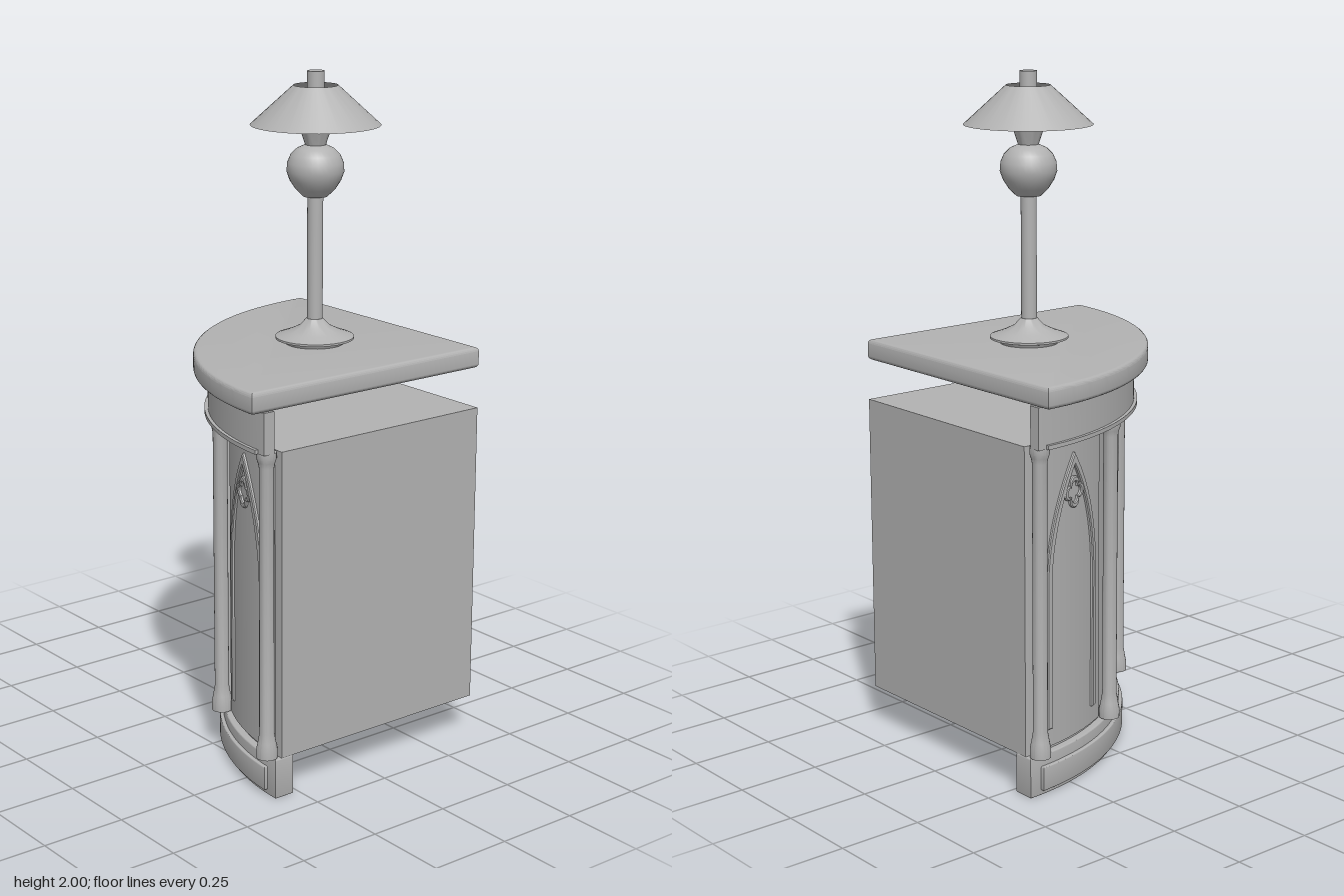
import * as THREE from 'three';
import { toCreasedNormals } from 'three/addons/utils/BufferGeometryUtils.js';

const CORNER = 0.413; // back corner of the quarter circle: (CORNER, -CORNER)
const rad = THREE.MathUtils.degToRad;
const V = (x, y) => new THREE.Vector2(x, y);

// Quarter-ring (or pie, when r0 = 0) around the corner; angles run from the front to the right side
function sector(r0, r1, y0, y1, a0 = 0, a1 = 90, bevel = 0) {
  const s = new THREE.Shape();
  const t0 = rad(90 + a0), t1 = rad(90 + a1);
  if (r0 === 0) s.moveTo(0, 0);
  else s.moveTo(r0 * Math.cos(t0), r0 * Math.sin(t0));
  s.lineTo(r1 * Math.cos(t0), r1 * Math.sin(t0));
  s.absarc(0, 0, r1, t0, t1, false);
  if (r0 > 0) {
    s.lineTo(r0 * Math.cos(t1), r0 * Math.sin(t1));
    s.absarc(0, 0, r0, t1, t0, true);
  }
  const g = new THREE.ExtrudeGeometry(s, {
    depth: y1 - y0 - 2 * bevel, curveSegments: 48, bevelEnabled: bevel > 0,
    bevelSize: bevel, bevelThickness: bevel, bevelOffset: -bevel, bevelSegments: 4,
  });
  g.rotateX(Math.PI / 2).translate(0, y1 - bevel, 0);
  return toCreasedNormals(g, 0.5);
}

// Wraps a flat relief (facing +z) onto the curved front at a given angle
function wrap(shape, depth, radius, angle) {
  const bevel = 0.003;
  const g = new THREE.ExtrudeGeometry(shape, {
    depth, curveSegments: 16, bevelEnabled: true,
    bevelSize: bevel, bevelThickness: bevel, bevelOffset: -bevel, bevelSegments: 1,
  });
  const p = g.attributes.position;
  for (let i = 0; i < p.count; i++) {
    const a = rad(angle) - p.getX(i) / radius, r = radius + p.getZ(i);
    p.setXYZ(i, -r * Math.sin(a), p.getY(i), r * Math.cos(a));
  }
  return toCreasedNormals(g, 0.4);
}

// Pointed arch moulding, open at the bottom
function lancetShape() {
  const w = 0.12, t = 0.02, foot = 0.19, spring = 0.61, R = 0.63, c = R - w, n = 14;
  const side = (r) => {
    const pts = [V(c - r, foot)];
    const end = Math.acos(c / r);
    for (let i = 0; i <= n; i++) {
      const a = end * i / n;
      pts.push(V(c - r * Math.cos(a), spring + r * Math.sin(a)));
    }
    return pts;
  };
  const arch = (r) => {
    const left = side(r);
    return [...left, ...left.slice(0, -1).reverse().map((p) => V(-p.x, p.y))];
  };
  return new THREE.Shape([...arch(R), ...arch(R - t).reverse()]);
}

// Four-lobed ring
function quatrefoilShape(cy) {
  const outline = (k) => Array.from({ length: 64 }, (_, i) => {
    const a = i / 64 * Math.PI * 2;
    const f = a - Math.round(a / (Math.PI / 2)) * Math.PI / 2;
    const d = 0.025, q = 0.021;
    const r = k * (d * Math.cos(f) + Math.sqrt(q * q - (d * Math.sin(f)) ** 2));
    return V(r * Math.cos(a), cy + r * Math.sin(a));
  });
  const s = new THREE.Shape(outline(1));
  s.holes.push(new THREE.Path(outline(0.66)));
  return s;
}

function lathe(points, segments = 32) {
  return toCreasedNormals(new THREE.LatheGeometry(points.map(([r, y]) => V(r, y)), segments), 0.6);
}

export function createModel() {
  const model = new THREE.Group();
  const grey = new THREE.MeshStandardMaterial({ color: 0xb2b2b2 });
  grey.name = 'plain grey';
  const greyOpen = grey;
  greyOpen.side = THREE.DoubleSide;

  const add = (parent, name, geometry) => {
    const m = new THREE.Mesh(geometry, grey);
    m.name = name;
    parent.add(m);
    return m;
  };

  const cabinet = new THREE.Group();
  cabinet.name = 'cabinet';
  cabinet.position.set(CORNER, 0, -CORNER);
  model.add(cabinet);

  // Carcass, plinth, frieze and top
  add(cabinet, 'body', sector(0, 0.724, 0.125, 1.03));
  add(cabinet, 'plinth', sector(0.683, 0.746, 0.005, 0.125, 0, 90, 0.004));
  add(cabinet, 'plinthBand', sector(0.74, 0.757, 0.02, 0.092, 3, 87, 0.004));
  add(cabinet, 'frieze', sector(0.75, 0.785, 1.03, 1.15));
  add(cabinet, 'friezeLedge', sector(0.75, 0.795, 1.03, 1.042, 2, 88));
  add(cabinet, 'tableTop', sector(0, 0.826, 1.15, 1.212, 0, 90, 0.012));

  // Three bays, each with a panel, pointed arch and four-lobed ornament
  const arch = lancetShape(), foil = quatrefoilShape(0.865);
  for (const a of [15, 45, 75]) {
    add(cabinet, 'doorPanel', sector(0.715, 0.732, 0.135, 1.01, a - 12.6, a + 12.6));
    add(cabinet, 'pointedArch', wrap(arch, 0.008, 0.73, a));
    add(cabinet, 'quatrefoil', wrap(foil, 0.008, 0.73, a));
  }

  // Slender columns between the bays
  const column = lathe([
    [0, 0.128], [0.03, 0.128], [0.03, 0.155], [0.026, 0.175], [0.021, 0.205], [0.021, 0.985],
    [0.024, 1.0], [0.028, 1.012], [0.028, 1.03], [0, 1.03],
  ], 20);
  for (const a of [2.2, 30, 60, 87.8]) {
    add(cabinet, 'column', column)
      .position.set(-0.755 * Math.sin(rad(a)), 0, 0.755 * Math.cos(rad(a)));
  }

  // Table lamp
  const lamp = new THREE.Group();
  lamp.name = 'lamp';
  lamp.position.set(0.074, 0, -0.076);
  model.add(lamp);
  add(lamp, 'lampFoot', lathe([
    [0, 1.21], [0.085, 1.21], [0.09, 1.22], [0.115, 1.226], [0.115, 1.232],
    [0.08, 1.245], [0.045, 1.262], [0.024, 1.285], [0, 1.285],
  ]));
  add(lamp, 'lampStem', new THREE.CylinderGeometry(0.023, 0.023, 0.77, 24).translate(0, 1.615, 0));
  add(lamp, 'lampBall', lathe([
    [0, 1.642], [0.036, 1.643], [0.058, 1.665], [0.074, 1.69], [0.083, 1.715], [0.081, 1.74],
    [0.071, 1.763], [0.054, 1.78], [0.03, 1.791], [0, 1.793],
  ]));
  add(lamp, 'lampCup', lathe([[0.028, 1.785], [0.036, 1.81], [0.05, 1.85], [0.044, 1.85], [0.03, 1.81]]));
  add(lamp, 'lampShade', lathe([[0.187, 1.848], [0.064, 1.96]], 40));
  add(lamp, 'lampTip', new THREE.CylinderGeometry(0.025, 0.025, 0.09, 24).translate(0, 1.955, 0));

  // Four struts holding the shade
  for (let i = 0; i < 4; i++) {
    const strut = add(lamp, 'shadeStrut', new THREE.BoxGeometry(0.05, 0.008, 0.008).translate(0.042, 1.945, 0));
    strut.rotation.y = Math.PI / 4 + i * Math.PI / 2;
  }
  return model;
}
